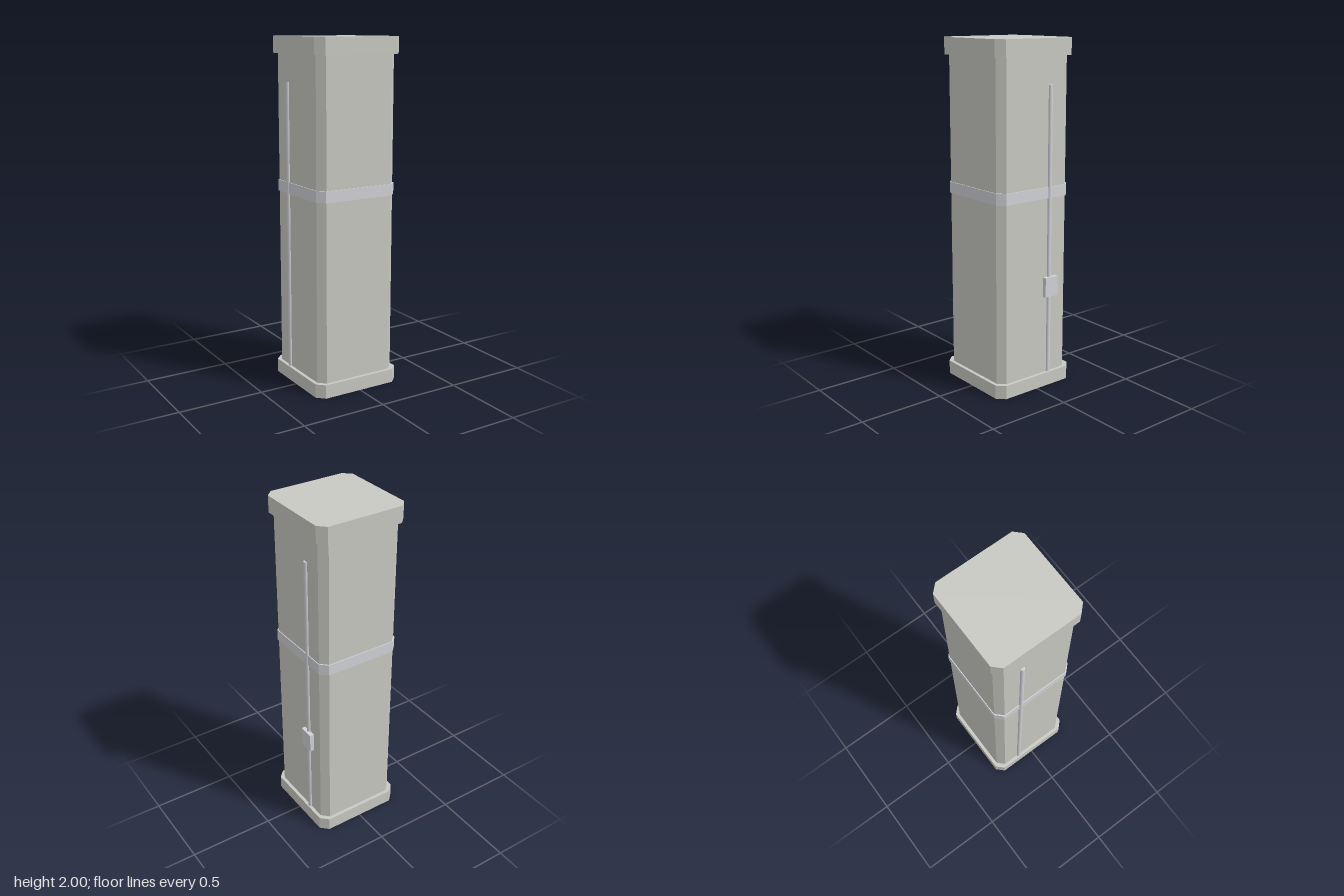
import * as THREE from 'three';

const stone = new THREE.MeshStandardMaterial({ color: 0xc9c9c3 });
const metal = new THREE.MeshStandardMaterial({ color: 0xd2d3d8 });

// Square prism with chamfered vertical corners, from y0 to y1
function chamferedPrism(name, half, chamfer, y0, y1, material) {
  const a = half, b = half - chamfer;
  const outline = [[a, -b], [a, b], [b, a], [-b, a], [-a, b], [-a, -b], [-b, -a], [b, -a]];
  const shape = new THREE.Shape(outline.map(([x, y]) => new THREE.Vector2(x, y)));
  const geometry = new THREE.ExtrudeGeometry(shape, { depth: y1 - y0, bevelEnabled: false });
  geometry.rotateX(-Math.PI / 2).translate(0, y0, 0);
  const mesh = new THREE.Mesh(geometry, material);
  mesh.name = name;
  return mesh;
}

export function createModel() {
  const model = new THREE.Group();
  model.name = 'pillar';

  // Column: plinth, shaft, band and cap
  model.add(
    chamferedPrism('base', 0.27, 0.043, 0, 0.08, stone),
    chamferedPrism('shaft', 0.25, 0.04, 0.08, 1.905, stone),
    chamferedPrism('band', 0.255, 0.04, 1.12, 1.185, metal),
    chamferedPrism('cap', 0.27, 0.043, 1.905, 2, stone)
  );

  // Conduits half sunk into both side faces
  const bottom = 0.07, top = 1.75, z = -0.098;
  for (const side of [1, -1]) {
    const conduit = new THREE.Mesh(new THREE.CylinderGeometry(0.013, 0.013, top - bottom, 16), metal);
    conduit.name = side > 0 ? 'leftConduit' : 'rightConduit';
    conduit.position.set(side * 0.25, (top + bottom) / 2, z);
    model.add(conduit);
  }

  // Junction box on the left conduit
  const box = new THREE.Mesh(new THREE.BoxGeometry(0.05, 0.115, 0.09), metal);
  box.name = 'junctionBox';
  box.position.set(0.25, 0.603, -0.101);
  model.add(box);

  // Centre the overall width, which the junction box widens on one side
  for (const part of model.children) part.position.x -= 0.0025;
  return model;
}
